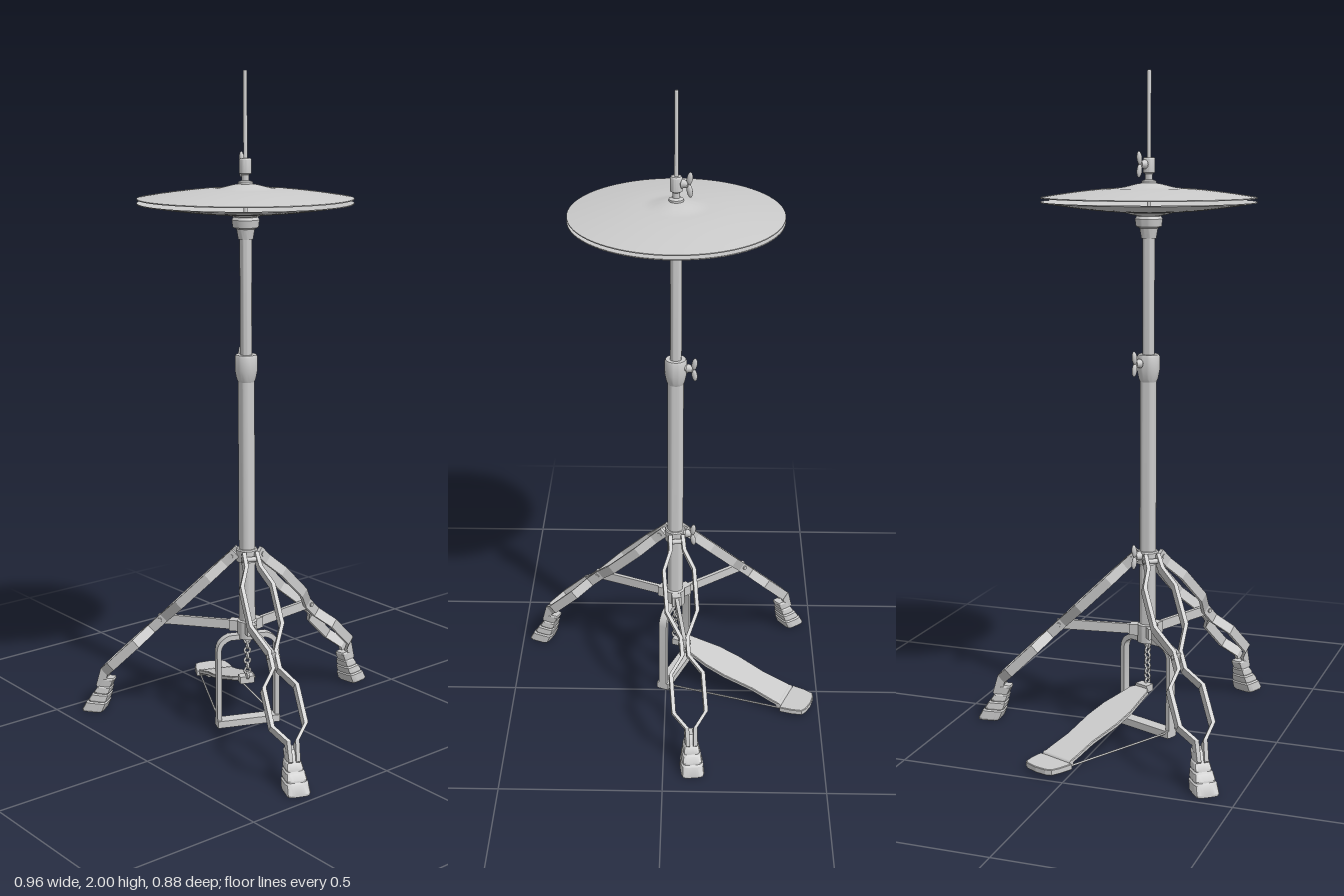
import * as THREE from 'three';
import { toCreasedNormals } from 'three/addons/utils/BufferGeometryUtils.js';

const mat = new THREE.MeshStandardMaterial({ color: 0xcccccc, side: THREE.DoubleSide });
const V = (x, y, z) => new THREE.Vector3(x, y, z);

function add(parent, name, geo, x = 0, y = 0, z = 0) {
  const m = new THREE.Mesh(geo, mat);
  m.name = name;
  m.position.set(x, y, z);
  parent.add(m);
  return m;
}

function group(parent, name, angleDeg = 0) {
  const g = new THREE.Group();
  g.name = name;
  g.rotation.y = -THREE.MathUtils.degToRad(angleDeg);
  parent.add(g);
  return g;
}

// Turned part from [radius, height] pairs, bottom to top
function lathe(profile, seg = 32) {
  const g = new THREE.LatheGeometry(profile.map(p => new THREE.Vector2(p[0], p[1])), seg);
  return toCreasedNormals(g, 0.6);
}

// Flat bar swept along points; n and z span its rectangular section
function ribbon(points, n, z, h, t) {
  const pos = [];
  const rings = points.map(p => [[-1, -1], [1, -1], [1, 1], [-1, 1]].map(([a, b]) =>
    p.clone().addScaledVector(n, a * h / 2).addScaledVector(z, b * t / 2)));
  const quad = (a, b, c, d) => [a, b, c, a, c, d].forEach(v => pos.push(v.x, v.y, v.z));
  for (let i = 0; i < rings.length - 1; i++) {
    for (let k = 0; k < 4; k++) {
      const l = (k + 1) % 4;
      quad(rings[i][k], rings[i][l], rings[i + 1][l], rings[i + 1][k]);
    }
  }
  const e = rings[rings.length - 1], s = rings[0];
  quad(e[0], e[1], e[2], e[3]);
  quad(s[3], s[2], s[1], s[0]);
  const g = new THREE.BufferGeometry();
  g.setAttribute('position', new THREE.Float32BufferAttribute(pos, 3));
  g.computeVertexNormals();
  return g;
}

// Horizontal plate, mirrored from [x, halfWidth] pairs
function plate(sides, thickness) {
  const pts = [...sides, ...sides.slice().reverse().map(([x, w]) => [x, -w])];
  const shape = new THREE.Shape(pts.map(p => new THREE.Vector2(p[0], p[1])));
  const g = new THREE.ExtrudeGeometry(shape, {
    depth: thickness - 0.004, bevelEnabled: true, bevelSize: 0.002, bevelThickness: 0.002, bevelSegments: 1,
  });
  return g.rotateX(-Math.PI / 2);
}

function rod(a, b, r) {
  return new THREE.TubeGeometry(new THREE.LineCurve3(a, b), 1, r, 8);
}

// Wing screw pointing along local +x
function wingScrew(parent, y, reach) {
  const g = group(parent, 'wingScrew');
  g.position.y = y;
  add(g, 'screwStem', new THREE.CylinderGeometry(0.009, 0.009, reach, 12).rotateZ(Math.PI / 2), reach / 2);
  add(g, 'screwBoss', new THREE.CylinderGeometry(0.009, 0.014, 0.018, 12).rotateZ(-Math.PI / 2), reach - 0.01);
  for (const s of [-1, 1]) {
    add(g, 'wing', new THREE.SphereGeometry(1, 14, 10).scale(0.009, 0.02, 0.007), reach + 0.004, s * 0.018)
      .rotation.z = -s * 0.15;
  }
}

// Rubber foot: stepped, squarish and leaning, with a flat base
function footGeometry() {
  const g = new THREE.LatheGeometry([
    [0, 0], [0.036, 0], [0.039, 0.006], [0.037, 0.03], [0.032, 0.034], [0.034, 0.039], [0.031, 0.056],
    [0.026, 0.06], [0.028, 0.065], [0.025, 0.08], [0.021, 0.084], [0.021, 0.106], [0.017, 0.112], [0, 0.112],
  ].map(p => new THREE.Vector2(p[0], p[1])), 32);
  const p = g.attributes.position;
  for (let i = 0; i < p.count; i++) {
    const x = p.getX(i), z = p.getZ(i), r = Math.hypot(x, z) || 1;
    const k = Math.pow((x / r) ** 6 + (z / r) ** 6, -1 / 6) || 1;
    p.setX(i, x * (r === 1 ? 1 : k) * 0.93 + 0.505 - p.getY(i) * 0.48);
    p.setZ(i, z * (r === 1 ? 1 : k) * 0.93);
  }
  return toCreasedNormals(g, 0.5);
}

function buildLeg(parent, angle) {
  const leg = group(parent, 'leg', angle);
  const slope = Math.atan(0.98);
  const n = V(Math.sin(slope), Math.cos(slope), 0), z = V(0, 0, 1);
  // Two bent bars that open into two hexagonal loops: [radius, half spread]
  const bends = [[0.03, 0.02], [0.065, 0.022], [0.11, 0.048], [0.205, 0.048], [0.265, 0.01],
    [0.305, 0.01], [0.345, 0.05], [0.43, 0.05], [0.465, 0.013]];
  for (const s of [-1, 1]) {
    const pts = bends.map(([r, w]) => V(r, 0.555 - (r - 0.035) * 0.98, s * w));
    pts.push(V(0.482, 0.075, s * 0.011));
    add(leg, 'legBar', ribbon(pts, n, z, 0.031, 0.012));
  }
  add(leg, 'legPivot', new THREE.CylinderGeometry(0.008, 0.008, 0.058, 12).rotateX(Math.PI / 2), 0.045, 0.548);
  add(leg, 'foot', footGeometry());
  // Horizontal strut to the lower collar
  add(leg, 'strut', new THREE.BoxGeometry(0.262, 0.03, 0.012), 0.155, 0.322);
  add(leg, 'strutPivot', new THREE.CylinderGeometry(0.007, 0.007, 0.04, 10).rotateX(Math.PI / 2), 0.278, 0.322);
  add(leg, 'strutBracket', new THREE.BoxGeometry(0.035, 0.034, 0.03), 0.037, 0.322);
}

function cymbal(parent, name, y) {
  const top = [];
  for (let i = 0; i <= 8; i++) {
    const a = i / 8;
    top.push([0.006 + 0.096 * a, 0.026 + 0.016 * (0.5 + 0.5 * Math.cos(Math.PI * a))]);
  }
  for (let i = 1; i <= 8; i++) top.push([0.102 + 0.215 * i / 8, 0.026 * (1 - (i / 8) ** 1.4)]);
  const under = top.map(([r, h]) => [r, h - 0.003]);
  return add(parent, name, lathe([...under, ...top.reverse()], 72), 0, y);
}

function buildPedal(parent) {
  const pedal = group(parent, 'pedal', 203);
  // Arched frame with base
  const arch = new THREE.Shape();
  arch.moveTo(-0.1, 0).lineTo(-0.1, 0.25).quadraticCurveTo(-0.098, 0.285, -0.06, 0.298)
    .lineTo(0.06, 0.298).quadraticCurveTo(0.098, 0.285, 0.1, 0.25).lineTo(0.1, 0);
  const hole = new THREE.Path();
  hole.moveTo(-0.086, 0.02).lineTo(0.086, 0.02).lineTo(0.086, 0.25)
    .quadraticCurveTo(0.084, 0.274, 0.055, 0.282).lineTo(-0.055, 0.282)
    .quadraticCurveTo(-0.084, 0.274, -0.086, 0.25);
  arch.holes.push(hole);
  const archGeo = new THREE.ExtrudeGeometry(arch, { depth: 0.026, bevelEnabled: false, curveSegments: 6 });
  add(pedal, 'frame', toCreasedNormals(archGeo.translate(0, 0, -0.013).rotateY(Math.PI / 2), 0.5));
  add(pedal, 'frameBase', new THREE.BoxGeometry(0.04, 0.022, 0.2), 0, 0.012);
  // Heel plate and hinge
  add(pedal, 'heelPlate', plate([[0.38, 0.03], [0.4, 0.034], [0.402, 0.062], [0.44, 0.058], [0.47, 0.05],
    [0.478, 0.035], [0.482, 0]], 0.018), 0, 0.01);
  add(pedal, 'hinge', new THREE.CylinderGeometry(0.009, 0.009, 0.11, 12).rotateX(Math.PI / 2), 0.392, 0.024);
  // Sloping footboard
  const board = plate([[0, 0.053], [-0.03, 0.053], [-0.1, 0.049], [-0.2, 0.058], [-0.27, 0.055],
    [-0.34, 0.04], [-0.372, 0.034], [-0.386, 0.02]], 0.012);
  add(pedal, 'footboard', board, 0.392, 0.022).rotation.z = -Math.atan2(0.115, 0.37);
  add(pedal, 'toeClamp', new THREE.BoxGeometry(0.03, 0.022, 0.045), 0.015, 0.142);
  // Thin stay rods along the floor
  for (const s of [-1, 1]) {
    add(pedal, 'stayRod', rod(V(0, 0.015, s * 0.09), V(0.42, 0.015, s * 0.05), 0.003));
  }
  // Pull chain
  for (let i = 0; i < 8; i++) {
    const link = new THREE.TorusGeometry(0.009, 0.004, 6, 12);
    if (i % 2) link.rotateY(Math.PI / 2);
    add(pedal, 'chainLink', link, 0, 0.158 + i * 0.0165);
  }
}

export function createModel() {
  const model = new THREE.Group();
  model.name = 'cymbalStand';
  const stand = group(model, 'stand');
  stand.position.set(-0.029, 0, 0.096);

  // Central tubes and pull rod
  add(stand, 'lowerTube', lathe([[0, 0.285], [0.025, 0.285], [0.025, 1.11], [0, 1.11]]));
  add(stand, 'upperTube', lathe([[0, 1.1], [0.018, 1.1], [0.018, 1.53], [0, 1.53]]));
  add(stand, 'pullRod', lathe([[0, 0.27], [0.006, 0.27], [0.006, 1.997], [0.004, 2], [0, 2]], 12));

  // Collars
  add(stand, 'heightCollar', lathe([[0.025, 1.09], [0.029, 1.1], [0.034, 1.125], [0.034, 1.165], [0.031, 1.172], [0.017, 1.172]]));
  add(stand, 'legCollar', lathe([[0.024, 0.53], [0.033, 0.532], [0.033, 0.568], [0.03, 0.572], [0.024, 0.572]]));
  add(stand, 'strutCollar', lathe([[0.005, 0.285], [0.031, 0.285], [0.031, 0.34], [0.024, 0.344]]));

  for (const angle of [23, 143, 263]) buildLeg(stand, angle);
  buildPedal(stand);

  // Cymbal seat, cymbals and clutch
  add(stand, 'cymbalSeat', lathe([[0, 1.515], [0.022, 1.515], [0.027, 1.545], [0.038, 1.55], [0.041, 1.572],
    [0.036, 1.58], [0, 1.58]]));
  cymbal(stand, 'bottomCymbal', 1.619).rotation.x = Math.PI;
  cymbal(stand, 'topCymbal', 1.635);
  add(stand, 'clutch', lathe([[0, 1.668], [0.022, 1.668], [0.022, 1.682], [0.011, 1.686], [0.011, 1.702],
    [0.018, 1.706], [0.018, 1.745], [0.015, 1.75], [0, 1.75]], 20));

  const screws = group(stand, 'wingScrews', 203);
  wingScrew(screws, 1.148, 0.058);
  wingScrew(screws, 0.562, 0.058);
  wingScrew(screws, 1.73, 0.038);
  return model;
}
